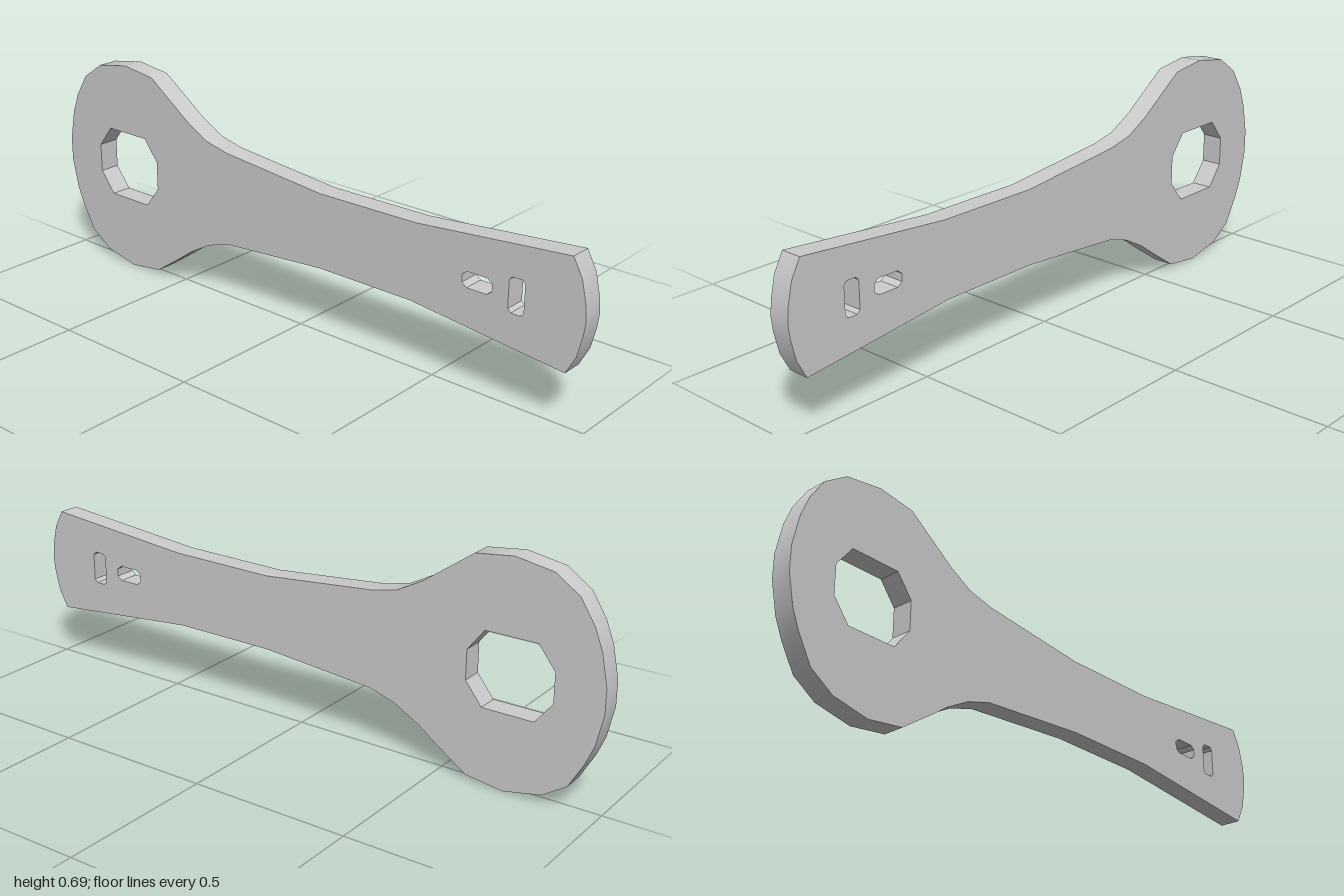
import * as THREE from 'three';
import { toCreasedNormals } from 'three/addons/utils/BufferGeometryUtils.js';

const THICKNESS = 0.068;

const points = (list) => list.map(([x, y]) => new THREE.Vector2(x, y));

// Rectangular slot with clipped corners (cx along x, cy along y)
function slot(x0, x1, y0, y1, cx, cy) {
  return new THREE.Path(points([
    [x0 + cx, y0], [x1 - cx, y0], [x1, y0 + cy], [x1, y1 - cy],
    [x1 - cx, y1], [x0 + cx, y1], [x0, y1 - cy], [x0, y0 + cy],
  ]));
}

export function createModel() {
  const group = new THREE.Group();
  group.name = 'ringWrench';

  // Outline, counter-clockwise from the left end of the ring
  const outline = new THREE.Shape(points([
    // lower edge of the ring
    [-1, 0.31], [-0.98, 0.215], [-0.955, 0.155], [-0.91, 0.075], [-0.835, 0.025],
    [-0.715, 0], [-0.595, 0.016],
    // lower edge of the neck and handle
    [-0.49, 0.088], [-0.435, 0.128], [-0.355, 0.172], [-0.27, 0.198],
    [0.105, 0.228], [0.44, 0.228],
    // curved handle end
    [0.95, 0.177], [0.98, 0.235], [0.995, 0.3], [1, 0.345], [0.995, 0.39], [0.98, 0.455], [0.95, 0.511],
    // upper edge of the handle and neck
    [0.45, 0.467], [0.105, 0.464], [-0.27, 0.5], [-0.355, 0.519], [-0.435, 0.562],
    // upper edge of the ring
    [-0.595, 0.675], [-0.715, 0.69], [-0.835, 0.67], [-0.91, 0.618],
    [-0.955, 0.547], [-0.98, 0.483], [-1, 0.385],
  ]));

  outline.holes.push(
    slot(-0.852, -0.584, 0.235, 0.463, 0.053, 0.068), // nut opening
    slot(0.612, 0.71, 0.325, 0.373, 0.016, 0.012),    // lengthwise slot
    slot(0.763, 0.813, 0.295, 0.4, 0.01, 0.01),       // crosswise slot
  );

  const geometry = new THREE.ExtrudeGeometry(outline, { depth: THICKNESS, bevelEnabled: false });
  geometry.translate(0, 0, -THICKNESS / 2);

  const body = new THREE.Mesh(
    toCreasedNormals(geometry, Math.PI / 6),
    new THREE.MeshStandardMaterial({ color: 0xcccccc }),
  );
  body.name = 'wrenchBody';
  group.add(body);
  return group;
}
